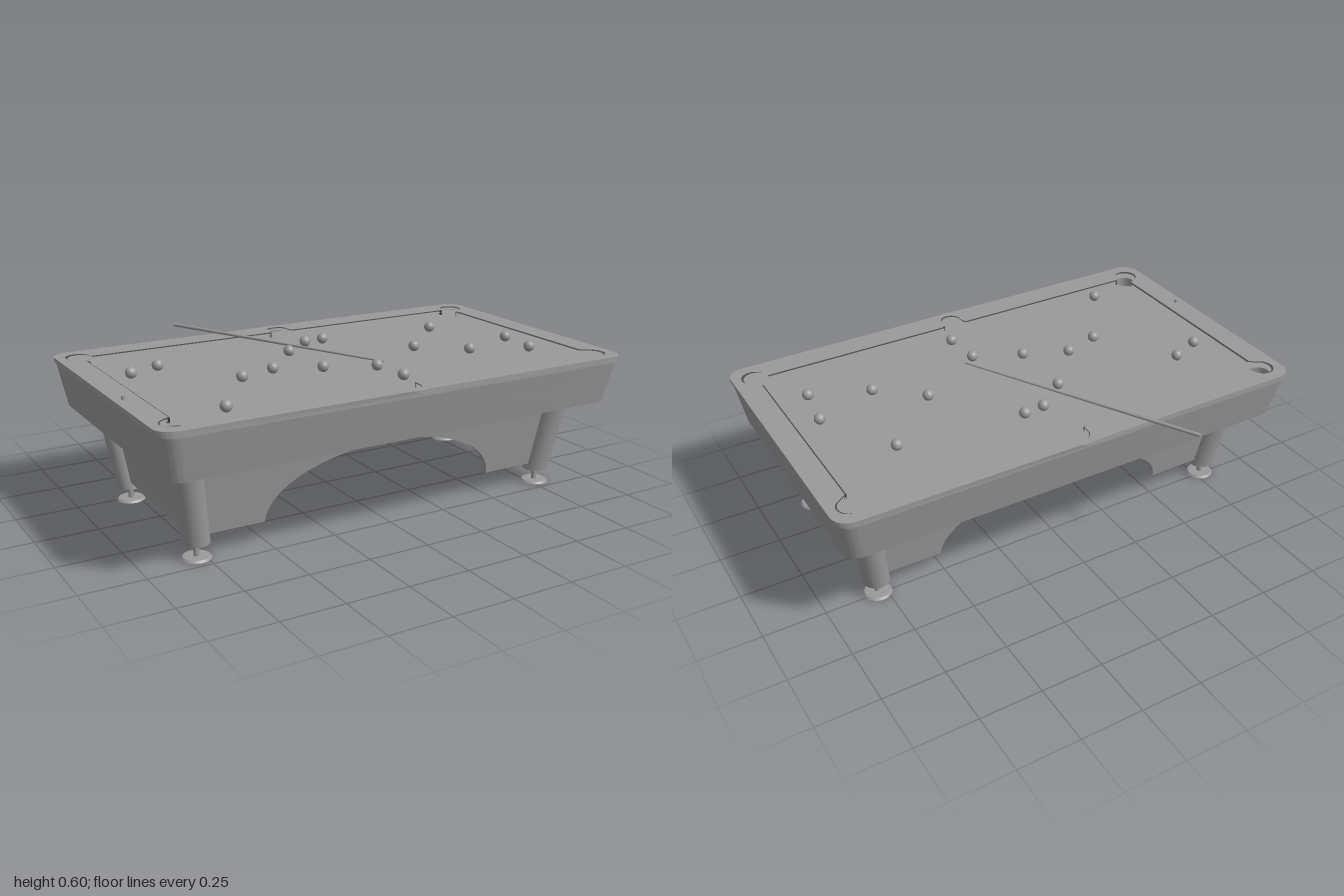
import * as THREE from 'three';
import { toCreasedNormals } from 'three/addons/utils/BufferGeometryUtils.js';

const ZC = 0.092; // the table sits a little forward because the cue overhangs the back
const grey = new THREE.MeshStandardMaterial({ color: 0x999999 });
const rubber = new THREE.MeshStandardMaterial({ color: 0x4c4c4c });

function add(parent, name, geometry, material = grey) {
  const mesh = new THREE.Mesh(geometry, material);
  mesh.name = name;
  parent.add(mesh);
  return mesh;
}

// Applies a rule to every vertex, then rebuilds the normals
function warp(geometry, rule) {
  const p = geometry.attributes.position;
  const v = new THREE.Vector3();
  for (let i = 0; i < p.count; i++) {
    rule(v.fromBufferAttribute(p, i));
    p.setXYZ(i, v.x, v.y, v.z);
  }
  return toCreasedNormals(geometry, 0.6);
}

// Points on an arc, angles in degrees
function arc(cx, cy, rx, from, to, n = 14, ry = rx) {
  return Array.from({ length: n + 1 }, (_, i) => {
    const a = THREE.MathUtils.degToRad(from + ((to - from) * i) / n);
    return new THREE.Vector2(cx + rx * Math.cos(a), cy + ry * Math.sin(a));
  });
}

// Mirrors a quarter outline (running from the y axis to the x axis) into a closed one
function mirrorQuarter(q) {
  const m = (sx, sy) => q.map((p) => new THREE.Vector2(p.x * sx, p.y * sy));
  return [...m(1, 1), ...m(1, -1).reverse(), ...m(-1, -1), ...m(-1, 1).reverse()];
}

// Rounded rectangle from half width, half depth and corner radius
const roundedRect = (w, d, r) => mirrorQuarter(arc(w - r, d - r, r, 90, 0));

// Horizontal slab between two heights, outline in x and z
function slab(outline, holes, bottom, top) {
  const shape = new THREE.Shape(outline);
  shape.holes = holes.map((h) => new THREE.Path(h));
  const g = new THREE.ExtrudeGeometry(shape, { depth: top - bottom, bevelEnabled: false });
  return g.rotateX(Math.PI / 2).translate(0, top, 0);
}

const pocketCentres = [];
for (const s of [-1, 1]) {
  for (const [x, z] of [[0, 0.515], [0.908 * s, 0.485]]) {
    pocketCentres.push(new THREE.Vector2(x, z * s), new THREE.Vector2(x, -z * s));
  }
}

// Narrows the cabinet towards its underside, leaving the pocket walls upright
function taper(v) {
  if (pocketCentres.some((c) => Math.hypot(v.x - c.x, v.z - c.y) < 0.055)) return;
  const t = (0.563 - v.y) / 0.18;
  v.x *= 1 - 0.032 * t;
  v.z *= 1 - 0.06 * t;
}

function buildCabinet(table) {
  const side = roundedRect(0.995, 0.582, 0.07);
  const capOutline = mirrorQuarter([
    ...arc(0, 0.535, 0.058, 89, 61, 6), // plate bulging out behind the side pocket
    ...arc(0.932, 0.516, 0.068, 90, 0),
  ]);
  // Cushion line with the jaws of the pockets
  const playfield = mirrorQuarter([
    ...arc(0, 0.515, 0.043, 89, -10, 10),
    new THREE.Vector2(0.046, 0.485),
    new THREE.Vector2(0.058, 0.475),
    new THREE.Vector2(0.855, 0.475),
    ...arc(0.908, 0.485, 0.048, 160, -70, 20),
    new THREE.Vector2(0.897, 0.42),
  ]);
  const opening = playfield.map((p) => p.clone().multiplyScalar(1.008));
  const pockets = pocketCentres.map((c) => arc(c.x, c.y, 0.045, 0, 345, 23));
  add(table, 'cabinet', warp(slab(side, [], 0.383, 0.5), taper));
  add(table, 'bedWithPockets', warp(slab(side, pockets, 0.5, 0.551), taper));
  add(table, 'railBase', toCreasedNormals(slab(side, [opening], 0.551, 0.563), 0.6));
  add(table, 'railCap', toCreasedNormals(slab(capOutline, [opening], 0.563, 0.577), 0.6));
  const cushions = slab(roundedRect(0.97, 0.568, 0.05), [playfield], 0.552, 0.573);
  add(table, 'cushions', toCreasedNormals(cushions, 0.6), rubber);
}

// Legs and skirts lean outwards with height
const lean = (y) => 0.145 * (y - 0.058);

function buildBase(table) {
  for (const sx of [-1, 1]) {
    for (const sz of [-1, 1]) {
      const leg = new THREE.Group();
      leg.name = 'leg';
      leg.position.set(0.781 * sx, 0, 0.328 * sz);
      const post = new THREE.CylinderGeometry(0.057, 0.052, 0.332, 32).translate(0, 0.224, 0);
      add(leg, 'legPost', warp(post, (v) => {
        const d = lean(v.y);
        v.x += sx * d;
        v.z += sz * d;
      }));
      add(leg, 'footScrew', new THREE.CylinderGeometry(0.011, 0.011, 0.06, 16).translate(0, 0.034, 0));
      add(leg, 'footPad', new THREE.CylinderGeometry(0.05, 0.057, 0.008, 32).translate(0, 0.004, 0));
      table.add(leg);
    }
  }

  const depth = 0.02;
  const point = ([x, y]) => new THREE.Vector2(x, y);
  for (const s of [-1, 1]) {
    // Long skirt with an elliptical arch
    const arch = new THREE.Shape([
      point([-0.781, 0.086]),
      ...arc(0, 0.086, 0.51, 180, 0, 48, 0.237),
      ...[[0.781, 0.086], [0.828, 0.388], [-0.828, 0.388]].map(point),
    ]);
    const long = new THREE.ExtrudeGeometry(arch, { depth, bevelEnabled: false });
    long.translate(0, 0, -depth / 2);
    add(table, 'archedSkirt', warp(long, (v) => { v.z += s * (0.328 + lean(v.y)); }));

    // Plain end skirt
    const trapezoid = new THREE.Shape(
      [[-0.33, 0.086], [0.33, 0.086], [0.376, 0.388], [-0.376, 0.388]].map(point));
    const end = new THREE.ExtrudeGeometry(trapezoid, { depth, bevelEnabled: false });
    end.translate(0, 0, -depth / 2).rotateY(Math.PI / 2);
    add(table, 'endSkirt', warp(end, (v) => { v.x += s * (0.781 + lean(v.y)); }));
  }
}

function buildGameItems(group) {
  const balls = [
    [-0.81, -0.079], [-0.68, -0.134], [-0.465, 0.176], [-0.31, 0.128],
    [-0.13, -0.075], [-0.13, 0.205], [0.005, -0.184], [0.095, -0.194],
    [0.063, 0.293], [0.075, 0.459], [-0.68, 0.491], [0.36, 0.11],
    [0.615, -0.141], [0.535, 0.261], [0.795, 0.168], [0.77, 0.355],
  ];
  const ballGeometry = new THREE.SphereGeometry(0.023, 24, 16);
  for (const [x, z] of balls) add(group, 'ball', ballGeometry).position.set(x, 0.574, z);

  // Cue resting on the back rail
  const butt = new THREE.Vector3(-0.376, 0.59, -0.681);
  const tip = new THREE.Vector3(0.115, 0.573, 0.26);
  const along = tip.clone().sub(butt);
  const cue = add(group, 'cue', new THREE.CylinderGeometry(0.004, 0.008, along.length(), 16));
  cue.position.copy(butt).add(tip).multiplyScalar(0.5);
  cue.quaternion.setFromUnitVectors(new THREE.Vector3(0, 1, 0), along.normalize());

  // Chalk on the right rail
  add(group, 'chalk', new THREE.CylinderGeometry(0.007, 0.007, 0.014, 12))
    .position.set(-0.963, 0.584, 0.25);
}

export function createModel() {
  const model = new THREE.Group();
  model.name = 'poolTable';
  const table = new THREE.Group();
  table.name = 'table';
  table.position.z = ZC;
  buildCabinet(table);
  buildBase(table);
  model.add(table);
  buildGameItems(model);
  return model;
}
